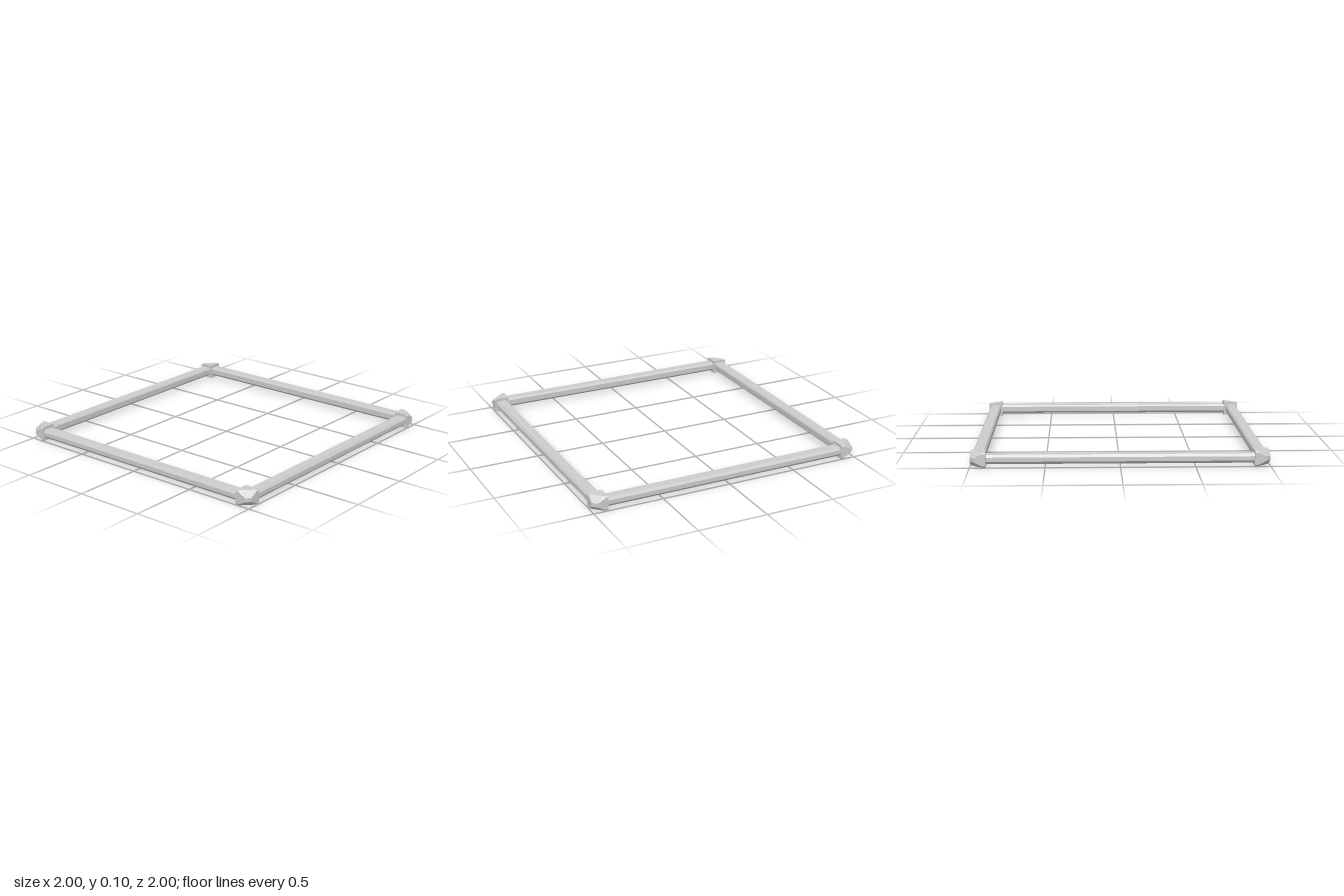
import * as THREE from 'three';
import { ConvexGeometry } from 'three/addons/geometries/ConvexGeometry.js';

const material = new THREE.MeshStandardMaterial({ color: 0xcccccc, flatShading: true });
const MID = 0.0525; // height of the frame's centre line

// Bevelled bar running along x; its section is given as [distance outward, height]
function barGeometry() {
  const section = [
    [0.905, 0.036], [0.918, 0.021], [0.974, 0.021], [0.99, 0.039],
    [0.99, 0.068], [0.977, 0.085], [0.915, 0.085], [0.905, 0.073],
  ];
  const shape = new THREE.Shape(section.map(([u, y]) => new THREE.Vector2(u, y)));
  const geometry = new THREE.ExtrudeGeometry(shape, { depth: 1.82, bevelEnabled: false });
  geometry.translate(0, 0, -0.91);
  geometry.rotateY(-Math.PI / 2); // outward becomes +z
  return geometry;
}

// Corner block with its two outer vertices cut away, mirrored about the diagonal and mid height
function cornerGeometry() {
  const inner = 0.894, half = MID;
  const corner = [ // [along x, along z, height above centre]
    [inner, inner, half],
    [inner, 0.989, half], [inner, 1, half - 0.011],
    [0.918, 0.989, half], [0.918, 1, half - 0.011],
    [0.97, 1, 0.014],
  ];
  const points = [];
  for (const [a, b, h] of corner) {
    for (const s of [1, -1]) {
      points.push(new THREE.Vector3(a, MID + s * h, b));
      if (a !== b) points.push(new THREE.Vector3(b, MID + s * h, a));
    }
  }
  return new ConvexGeometry(points);
}

export function createModel() {
  const model = new THREE.Group();
  model.name = 'squareFrame';
  const bar = barGeometry();
  const corner = cornerGeometry();
  const sides = ['front', 'left', 'back', 'right'];
  const corners = ['frontLeft', 'backLeft', 'backRight', 'frontRight'];

  // Four bars and four corner blocks, a quarter turn apart
  for (let i = 0; i < 4; i++) {
    const barMesh = new THREE.Mesh(bar, material);
    barMesh.name = sides[i] + 'Bar';
    const cornerMesh = new THREE.Mesh(corner, material);
    cornerMesh.name = corners[i] + 'Corner';
    barMesh.rotation.y = cornerMesh.rotation.y = i * Math.PI / 2;
    model.add(barMesh, cornerMesh);
  }
  return model;
}
